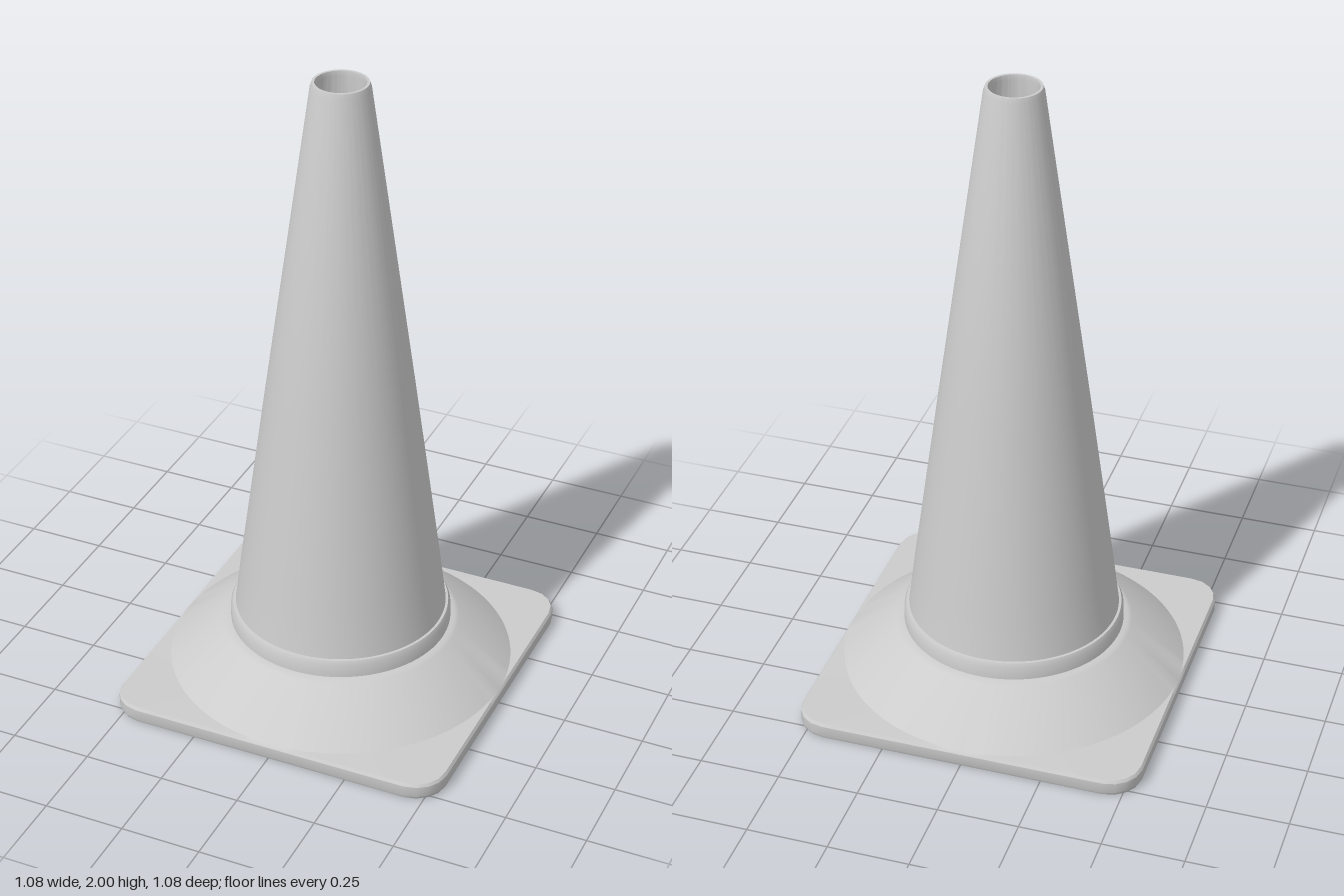
import * as THREE from 'three';
import { toCreasedNormals } from 'three/addons/utils/BufferGeometryUtils.js';

const HALF = 0.54, CORNER = 0.1, SEG = 128;

// Distance from the centre to a rounded square outline, along angle a
function outline(a, half, corner) {
  const c = Math.abs(Math.cos(a)), s = Math.abs(Math.sin(a));
  const k = half - corner, flat = half / Math.max(c, s);
  if (flat * Math.min(c, s) <= k) return flat;
  const d = k * (c + s);
  return d + Math.sqrt(Math.max(0, d * d - 2 * k * k + corner * corner));
}

// Cross-section of the hollow base at angle a, from the underside round to the top
function baseSection(a) {
  const out = outline(a, HALF, CORNER);
  const top = outline(a, HALF - 0.006, CORNER - 0.006);
  const inn = outline(a, HALF - 0.025, CORNER - 0.025);
  return [
    [0.325, 0.17], [0.35, 0.17],
    [Math.min(0.51, inn - 0.003), 0.036], [inn, 0.034],
    [inn, 0.005], [out - 0.005, 0.002], [out, 0.012], [out, 0.045],
    [top, 0.054], [Math.min(0.533, top - 0.001), 0.055],
    [0.368, 0.188], [0.355, 0.194], [0.325, 0.195],
  ];
}

// Closed skin through the cross-sections
function buildBase() {
  const pos = [], idx = [];
  const n = baseSection(0).length;
  for (let i = 0; i < SEG; i++) {
    const a = (i / SEG) * Math.PI * 2;
    for (const [r, y] of baseSection(a)) pos.push(r * Math.sin(a), y, r * Math.cos(a));
  }
  for (let i = 0; i < SEG; i++) {
    const p = i * n, q = ((i + 1) % SEG) * n;
    for (let j = 0; j < n; j++) {
      const k = (j + 1) % n;
      idx.push(p + j, q + j, q + k, p + j, q + k, p + k);
    }
  }
  const geo = new THREE.BufferGeometry();
  geo.setAttribute('position', new THREE.Float32BufferAttribute(pos, 3));
  geo.setIndex(idx);
  return toCreasedNormals(geo, 0.5);
}

export function createModel() {
  const group = new THREE.Group();
  const material = new THREE.MeshStandardMaterial({ color: 0xcccccc });
  const add = (name, geo) => {
    const mesh = new THREE.Mesh(geo, material);
    mesh.name = name;
    group.add(mesh);
    return mesh;
  };
  const lathe = (profile) => toCreasedNormals(
    new THREE.LatheGeometry(profile.map(([r, y]) => new THREE.Vector2(r, y)), 96), 0.5);

  // Hollow cone wall, open at both ends, with a sleeve running down to the ground
  add('coneBody', lathe([
    [0.315, 0.005], [0.335, 0.005], [0.335, 0.2], [0.326, 0.25], [0.307, 0.4],
    [0.225, 1], [0.087, 1.985], [0.082, 2], [0.074, 2], [0.072, 1.985],
    [0.21, 1], [0.291, 0.4], [0.315, 0.2], [0.315, 0.005],
  ]));

  // Raised band where the cone meets the base
  add('collar', lathe([
    [0.32, 0.19], [0.342, 0.19], [0.341, 0.235], [0.334, 0.249], [0.32, 0.25], [0.32, 0.19],
  ]));

  add('base', buildBase());

  // Diagonal stiffening ribs under the four corners
  const ribShape = new THREE.Shape([
    [0.33, 0.008], [0.705, 0.008], [0.705, 0.04], [0.515, 0.04], [0.36, 0.175], [0.33, 0.175],
  ].map(([x, y]) => new THREE.Vector2(x, y)));
  const ribGeo = new THREE.ExtrudeGeometry(ribShape, { depth: 0.014, bevelEnabled: false });
  ribGeo.translate(0, 0, -0.007);
  for (let i = 0; i < 4; i++) {
    add('cornerRib', ribGeo).rotation.y = Math.PI / 4 + (i * Math.PI) / 2;
  }
  return group;
}
